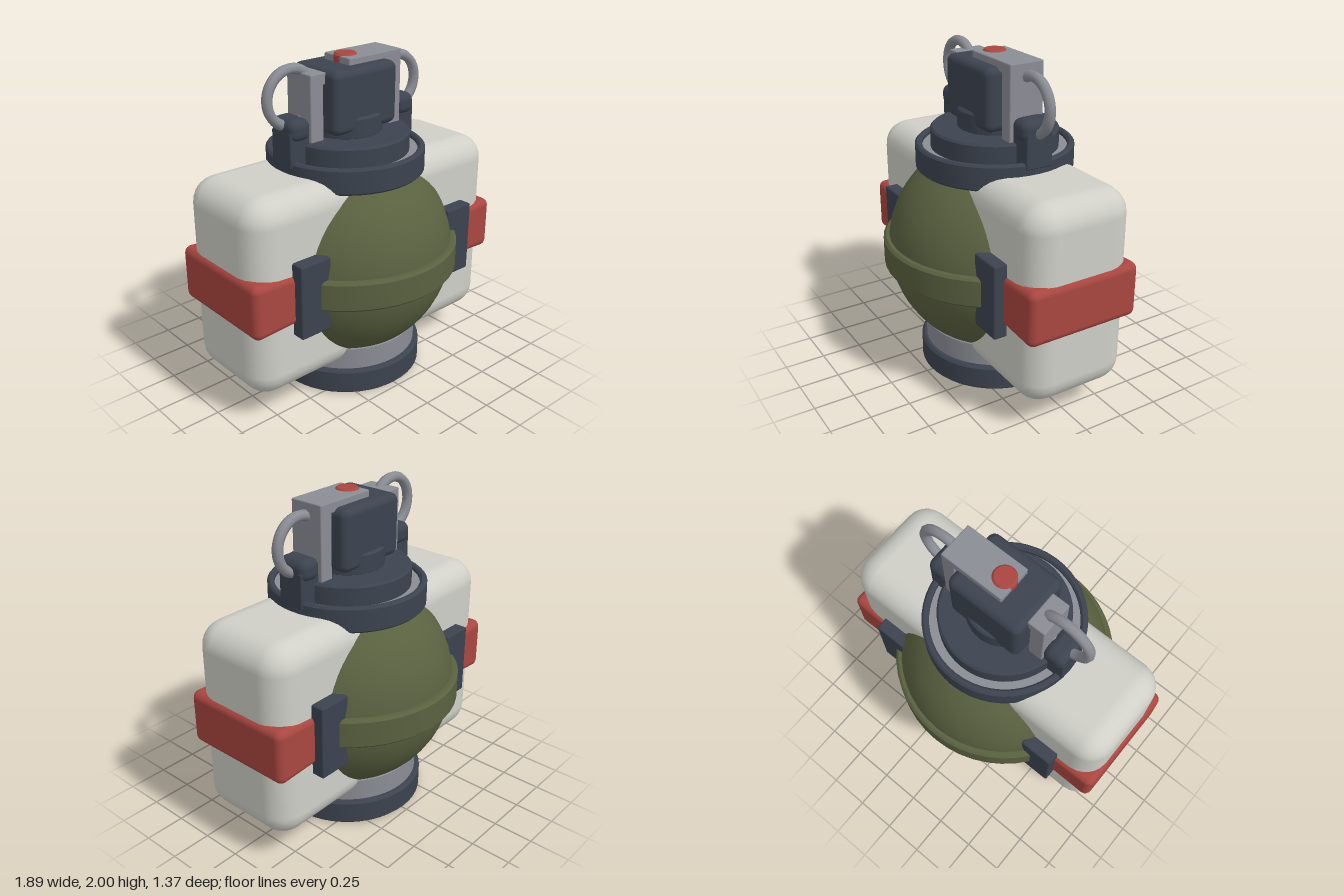
import * as THREE from 'three';
import { toCreasedNormals } from 'three/addons/utils/BufferGeometryUtils.js';
import { RoundedBoxGeometry } from 'three/addons/geometries/RoundedBoxGeometry.js';

const paint = (name, color) => {
  const m = new THREE.MeshStandardMaterial({ color });
  m.name = name;
  return m;
};

export function createModel() {
  const group = new THREE.Group();
  const olive = paint('olive', 0x5a6140);
  const white = paint('offWhite', 0xcfcfc8);
  const red = paint('red', 0xa94640);
  const grey = paint('steelGrey', 0x8b8d95);
  const dark = paint('darkSlate', 0x3c434f);

  const add = (name, geometry, material, x = 0, y = 0, z = 0) => {
    const mesh = new THREE.Mesh(geometry, material);
    mesh.name = name;
    mesh.position.set(x, y, z);
    group.add(mesh);
    return mesh;
  };

  // Rounded box given by its extents
  const block = (name, material, [x0, x1], [y0, y1], [z0, z1], radius, segments = 3) =>
    add(name, new RoundedBoxGeometry(x1 - x0, y1 - y0, z1 - z0, segments, radius), material,
      (x0 + x1) / 2, (y0 + y1) / 2, (z0 + z1) / 2);

  // Bevelled round part: a ring when inner > 0, otherwise a solid disc
  const round = (name, material, outer, inner, y0, y1, b = 0.012) => {
    const pts = [[inner, y0], [outer - b, y0], [outer, y0 + b], [outer, y1 - b], [outer - b, y1]];
    if (inner > 0) pts.push([inner + b, y1], [inner, y1 - b], [inner, y0]);
    else pts.push([0, y1]);
    const lathe = new THREE.LatheGeometry(pts.map(([r, y]) => new THREE.Vector2(r, y)), 48);
    return add(name, toCreasedNormals(lathe, 0.6), material);
  };

  // Round body with its belt
  add('body', new THREE.SphereGeometry(0.655, 48, 32), olive, 0, 0.79, 0);
  round('bodyBelt', olive, 0.685, 0.6, 0.69, 0.875, 0.015);

  // Side case running through the body
  block('sideCase', white, [-0.925, 0.925], [0.175, 1.39], [-0.34, 0.34], 0.155, 3);

  // Base
  round('baseRing', dark, 0.472, 0.42, 0, 0.16, 0.015);
  round('baseCore', grey, 0.44, 0, 0.02, 0.3, 0.005);

  // Collar and stepped cap
  round('collarRing', dark, 0.472, 0.43, 1.305, 1.46, 0.012);
  round('collarCore', grey, 0.435, 0, 1.306, 1.43, 0.005);
  round('capDisc', dark, 0.38, 0, 1.4, 1.55, 0.012);
  round('capStep', dark, 0.22, 0, 1.54, 1.67, 0.012);
  block('headBlock', dark, [-0.24, 0.237], [1.58, 1.95], [-0.195, 0.195], 0.045);

  // Lever plates and button
  block('leftPlate', grey, [-0.342, -0.25], [1.55, 1.94], [-0.105, 0.105], 0.008, 1);
  block('leftPlateLip', grey, [-0.3, -0.23], [1.87, 1.94], [-0.105, 0.105], 0.008, 1);
  block('leverTop', grey, [-0.065, 0.337], [1.925, 1.99], [-0.11, 0.11], 0.008, 1);
  block('leverSide', grey, [0.25, 0.337], [1.52, 1.99], [-0.11, 0.11], 0.008, 1);
  round('button', red, 0.07, 0, 1.93, 2, 0.012);

  for (const [side, s] of [['left', 1], ['right', -1]]) {
    const span = (a, b) => (s > 0 ? [a, b] : [-b, -a]);

    // Hinge with pull ring
    block(side + 'HingePost', dark, span(0.33, 0.474), [1.42, 1.63], [-0.085, 0.085], 0.01, 1);
    block(side + 'HingeKnob', dark, span(0.33, 0.474), [1.57, 1.7], [-0.105, 0.105], 0.05);
    add(side + 'PullRing', new THREE.TorusGeometry(0.16, 0.031, 8, 40), grey,
      0.4 * s, s > 0 ? 1.765 : 1.808, 0);

    // Strap, flaring slightly towards its outer end
    const strap = block(side + 'Strap', red, span(0.5, 0.945), [0.62, 0.945], [-0.36, 0.36], 0.045);
    const pos = strap.geometry.attributes.position;
    for (let i = 0; i < pos.count; i++) {
      pos.setY(i, pos.getY(i) * (pos.getX(i) * s > 0 ? 1.035 : 0.9));
    }

    // Strap clips on front and back
    for (const [face, f] of [['Front', 1], ['Back', -1]]) {
      block(side + face + 'Clip', dark, span(0.47, 0.678), [0.56, 1.01],
        f > 0 ? [0.3, 0.42] : [-0.42, -0.3], 0.01, 1);
    }
  }

  return group;
}
